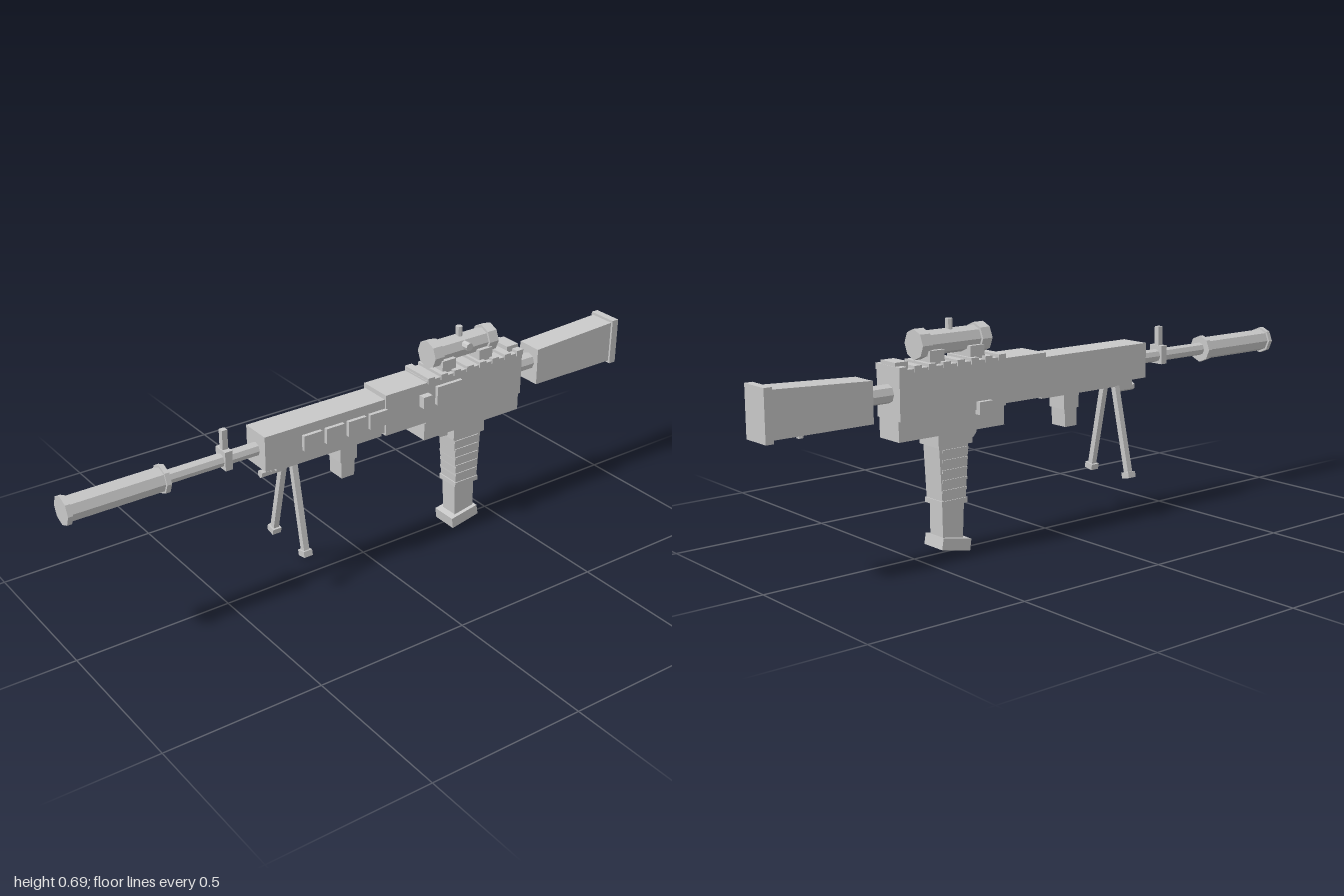
import * as THREE from 'three';

const CX = 0.005; // body centreline

export function createModel() {
  const model = new THREE.Group();
  model.name = 'propModel';
  const grey = new THREE.MeshStandardMaterial({ color: 0xc8c8c8, flatShading: true });
  grey.name = 'light grey';

  const add = (name, geometry) => {
    const mesh = new THREE.Mesh(geometry, grey);
    mesh.name = name;
    model.add(mesh);
    return mesh;
  };
  // Box given by its limits on each axis
  const box = (name, x0, x1, y0, y1, z0, z1) => {
    const m = add(name, new THREE.BoxGeometry(x1 - x0, y1 - y0, z1 - z0));
    m.position.set((x0 + x1) / 2, (y0 + y1) / 2, (z0 + z1) / 2);
    return m;
  };
  // Box centred on the body, by width
  const mid = (name, w, y0, y1, z0, z1) => box(name, CX - w / 2, CX + w / 2, y0, y1, z0, z1);
  // Faceted cylinder lying along z
  const rod = (name, r, y, z0, z1, sides = 8) => {
    const g = new THREE.CylinderGeometry(r, r, z1 - z0, sides).rotateX(Math.PI / 2);
    const m = add(name, g);
    m.position.set(CX, y, (z0 + z1) / 2);
    return m;
  };
  // Side outline in (z, y), extruded across x
  const plate = (name, w, points) => {
    const shape = new THREE.Shape(points.map(([z, y]) => new THREE.Vector2(-z, y)));
    const g = new THREE.ExtrudeGeometry(shape, { depth: w, bevelEnabled: false });
    g.translate(0, 0, -w / 2).rotateY(Math.PI / 2);
    const m = add(name, g);
    m.position.x = CX;
    return m;
  };

  // Barrel and muzzle sleeve
  rod('barrel', 0.021, 0.4935, 0.38, 0.7);
  rod('muzzleSleeve', 0.037, 0.4935, 0.69, 0.995);
  rod('muzzleRimFront', 0.044, 0.4935, 0.985, 1.0);
  rod('muzzleRimRear', 0.044, 0.4935, 0.685, 0.7);
  mid('frontSightBlock', 0.053, 0.467, 0.527, 0.479, 0.503);
  mid('frontSightPost', 0.018, 0.52, 0.588, 0.482, 0.5);

  // Handguard with raised side panels
  mid('handguard', 0.1, 0.438, 0.55, -0.04, 0.385);
  mid('handguardRail', 0.07, 0.42, 0.445, -0.04, 0.34);
  for (let i = 0; i < 4; i++) {
    const z = 0.226 - i * 0.079;
    box('sidePanel', 0.05, 0.067, 0.471, 0.52, z - 0.032, z + 0.032);
  }

  // Receiver
  mid('receiverFront', 0.112, 0.43, 0.565, -0.2, -0.04);
  mid('receiver', 0.112, 0.424, 0.57, -0.575, -0.195);
  mid('receiverLower', 0.094, 0.364, 0.43, -0.575, -0.195);
  box('ejectionCover', 0.055, 0.073, 0.484, 0.545, -0.325, -0.228);
  box('boltHandle', 0.055, 0.084, 0.493, 0.531, -0.2, -0.167);
  box('selectorKnob', -0.066, -0.045, 0.411, 0.449, -0.305, -0.255);

  // Toothed top rail and rear sight
  for (let i = 0; i < 8; i++) {
    const z = -0.21 - i * 0.0505;
    mid('railTooth', 0.119, 0.561, 0.579, z - 0.013, z + 0.013);
  }
  mid('rearSight', 0.07, 0.57, 0.59, -0.575, -0.53);

  // Scope on two mounts
  rod('scopeTube', 0.037, 0.628, -0.48, -0.24);
  rod('scopeRimFront', 0.045, 0.628, -0.27, -0.235);
  rod('scopeRimRear', 0.045, 0.628, -0.485, -0.45);
  for (const z of [-0.29, -0.435]) {
    mid('scopeMount', 0.088, 0.573, 0.612, z - 0.026, z + 0.026);
  }
  const topKnob = add('scopeTopKnob', new THREE.CylinderGeometry(0.011, 0.011, 0.045, 8));
  topKnob.position.set(CX, 0.67, -0.36);
  const sideKnob = add('scopeSideKnob', new THREE.CylinderGeometry(0.013, 0.013, 0.04, 8).rotateZ(Math.PI / 2));
  sideKnob.position.set(0.04, 0.64, -0.36);

  // Stock
  rod('stockNeck', 0.028, 0.498, -0.66, -0.57);
  plate('stock', 0.086, [[-0.655, 0.428], [-0.98, 0.428], [-0.98, 0.565], [-0.655, 0.55]]);
  mid('buttPlate', 0.1, 0.42, 0.573, -1.0, -0.975);
  const stud = add('stockStud', new THREE.CylinderGeometry(0.01, 0.01, 0.025, 8));
  stud.position.set(CX, 0.425, -0.866);

  // Grip with side ridges, trigger and magazine
  mid('gripCollar', 0.094, 0.327, 0.37, -0.437, -0.314);
  plate('grip', 0.077, [[-0.323, 0.335], [-0.336, 0.152], [-0.42, 0.152], [-0.43, 0.335]]);
  for (let i = 0; i < 5; i++) {
    const y = 0.313 - i * 0.03;
    mid('gripRidge', 0.083, y - 0.0045, y + 0.0045, -0.42, -0.325 - i * 0.002);
  }
  mid('gripBand', 0.083, 0.149, 0.165, -0.424, -0.331);
  plate('magazine', 0.062, [[-0.336, 0.155], [-0.342, 0.03], [-0.415, 0.03], [-0.415, 0.155]]);
  plate('magazineBase', 0.088, [[-0.32, 0.036], [-0.325, 0.0], [-0.428, 0.021], [-0.422, 0.055]]);
  plate('trigger', 0.03, [[-0.272, 0.37], [-0.274, 0.35], [-0.285, 0.335], [-0.318, 0.333], [-0.318, 0.37]]);

  // Front grip
  mid('foregripTop', 0.07, 0.375, 0.425, 0.052, 0.112);
  plate('foregrip', 0.062, [[0.108, 0.4], [0.106, 0.318], [0.06, 0.318], [0.056, 0.4]]);

  // Bipod
  mid('bipodMount', 0.05, 0.416, 0.445, 0.26, 0.35);
  rod('bipodPivot', 0.013, 0.406, 0.295, 0.375, 6);
  for (const side of [1, -1]) {
    const top = new THREE.Vector3(CX + side * 0.022, 0.436, 0.275);
    const foot = new THREE.Vector3(side * 0.0865, 0.143, 0.275);
    const dir = foot.clone().sub(top);
    const leg = add('bipodLeg', new THREE.BoxGeometry(0.019, dir.length(), 0.019));
    leg.position.copy(top).add(foot).multiplyScalar(0.5);
    leg.rotation.z = Math.atan2(dir.x, -dir.y);
    const pad = add('bipodFoot', new THREE.BoxGeometry(0.032, 0.019, 0.03));
    pad.position.copy(foot);
    pad.rotation.z = leg.rotation.z;
  }
  return model;
}
